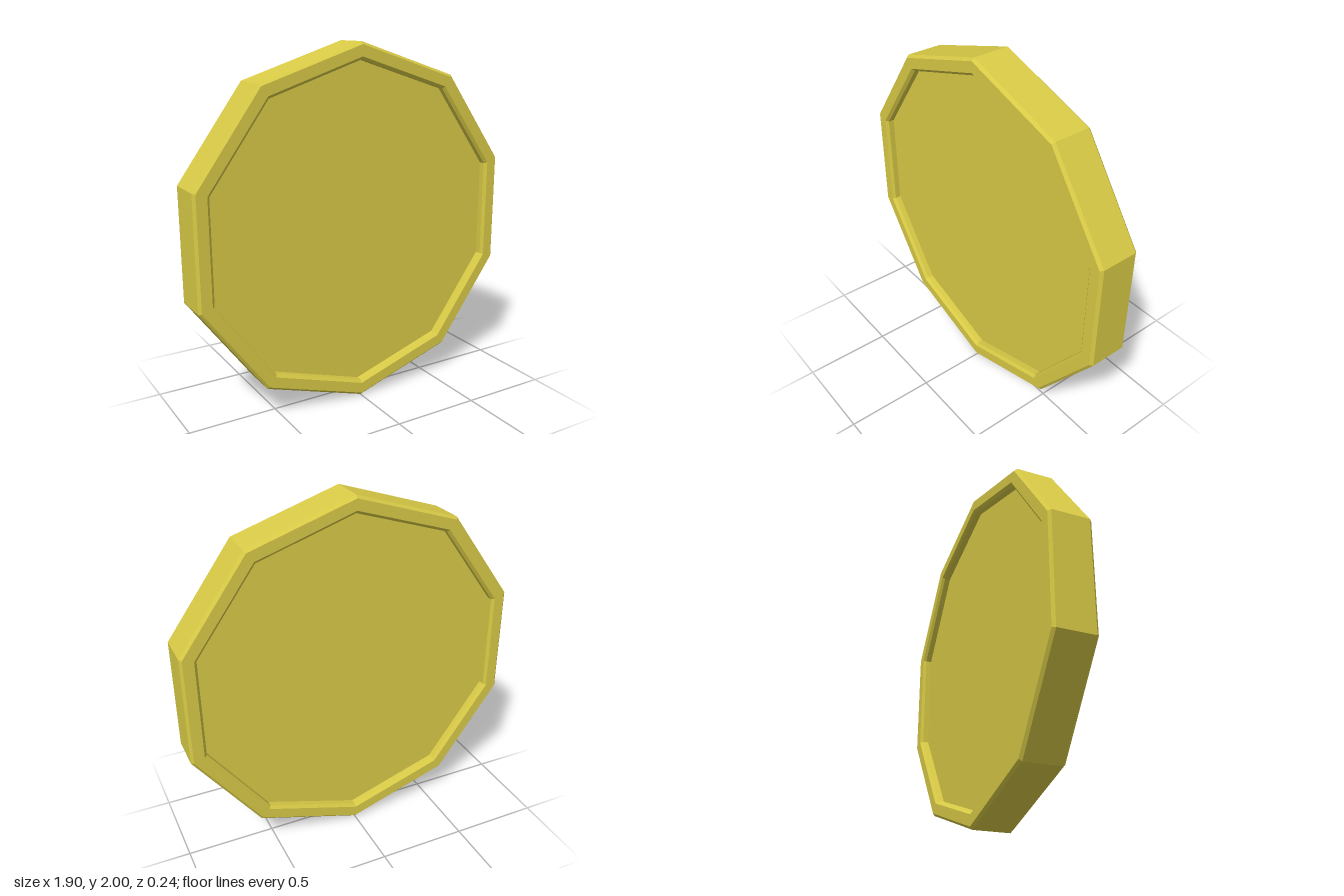
import * as THREE from 'three';

const SIDES = 10;

export function createModel() {
  const group = new THREE.Group();
  group.name = 'coin';
  const material = new THREE.MeshStandardMaterial({ color: 0xd8ca46, flatShading: true });

  // Half profile [radius, depth]: recessed face, inner bevel, rim, outer bevel
  const half = [[0, 0.07], [0.907, 0.07], [0.907, 0.103], [0.923, 0.118], [0.985, 0.118], [1, 0.103]];
  const back = half.map(([r, d]) => new THREE.Vector2(r, -d));
  const front = half.map(([r, d]) => new THREE.Vector2(r, d)).reverse();

  // Ten-sided disc turned upright with a corner at the top
  const geometry = new THREE.LatheGeometry([...back, ...front], SIDES);
  geometry.rotateX(-Math.PI / 2);
  const disc = new THREE.Mesh(geometry, material);
  disc.name = 'coinDisc';
  disc.position.y = 1;
  group.add(disc);
  return group;
}
